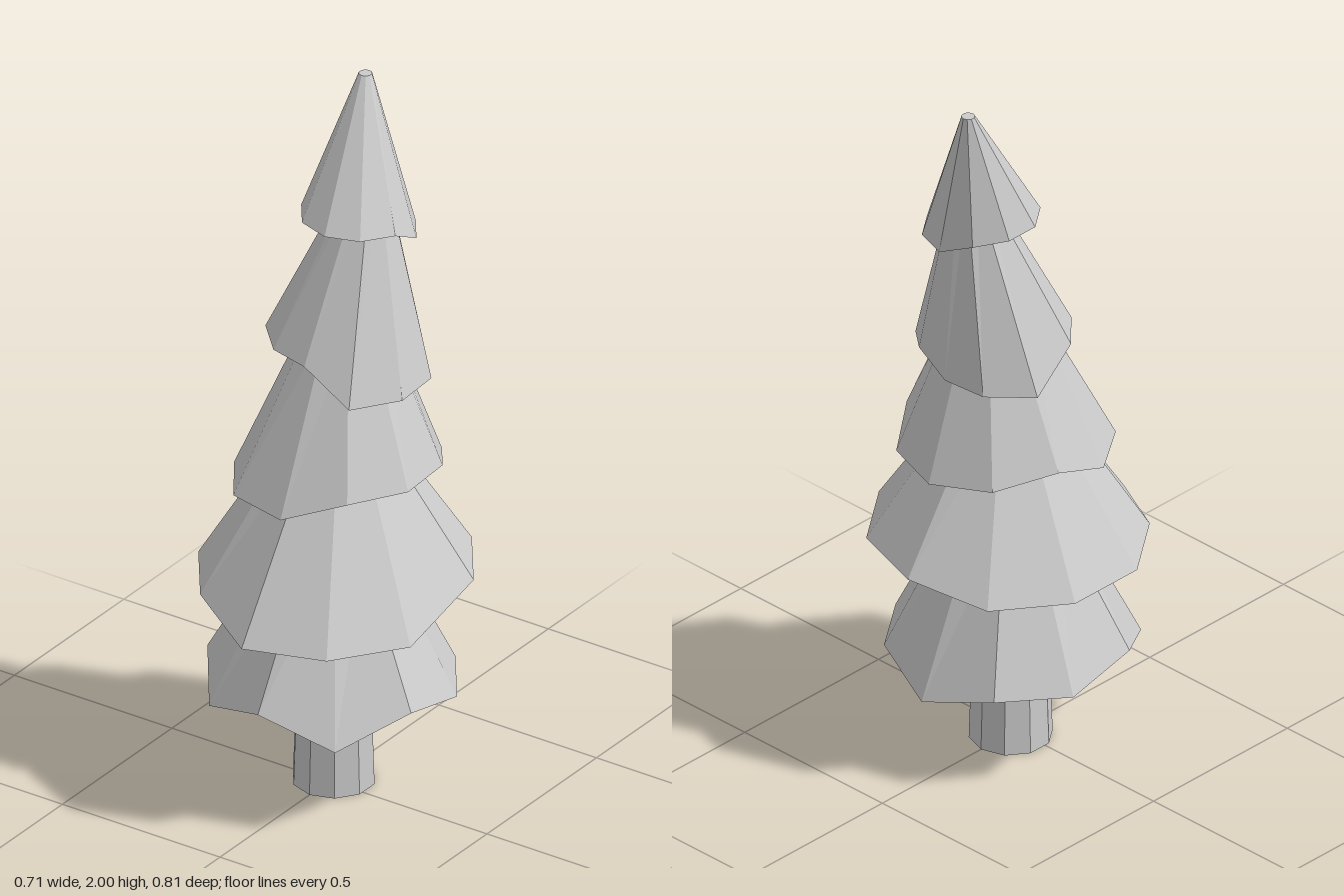
import * as THREE from 'three';

const SIDES = 10;
const material = new THREE.MeshStandardMaterial({ color: 0xcccccc, flatShading: true, side: THREE.DoubleSide });

// Each tier: rim centre and tip centre as [x, z], tip radius, tip height, and rim
// corner heights and radii (one number if even), from the front corner round through +x.
// twist turns the rim, push moves the first corners forward.
const tiers = [
  { rim: [0, -0.013], radii: 0.34, tip: [0, -0.02], tipRadius: 0.13, top: 0.72,
    heights: [0.345, 0.265, 0.345, 0.3, 0.305, 0.245, 0.3, 0.295, 0.345, 0.28] },
  { rim: [0, -0.03], radii: 0.375, tip: [0, -0.035], tipRadius: 0.11, top: 1.05, push: 0.057,
    heights: [0.575, 0.575, 0.575, 0.645, 0.645, 0.645, 0.61, 0.61, 0.61, 0.61] },
  { rim: [0.005, -0.042], tip: [0.005, -0.075], tipRadius: 0.1, top: 1.35, twist: 0.045,
    radii: [0.292, 0.276, 0.277, 0.275, 0.286, 0.293, 0.295, 0.284, 0.285, 0.3],
    heights: [0.895, 0.955, 0.96, 0.96, 0.915, 0.91, 0.93, 0.96, 0.895, 0.895] },
  { rim: [0, -0.08], tip: [0.02, -0.155], tipRadius: 0.042, top: 1.75,
    radii: [0.195, 0.242, 0.238, 0.23, 0.2, 0.186, 0.21, 0.24, 0.222, 0.203],
    heights: [1.285, 1.2, 1.2, 1.2, 1.235, 1.195, 1.19, 1.19, 1.285, 1.285] },
  { rim: [0.01, -0.12], radii: 0.157, tip: [-0.035, -0.215], tipRadius: 0.018, top: 2,
    heights: [1.64, 1.64, 1.64, 1.59, 1.59, 1.59, 1.63, 1.64, 1.64, 1.64] },
];

// Leaning cone with an uneven rim, made by moving the corners of a cylinder
function tierGeometry({ rim, radii, tip, tipRadius, top, heights, twist = 0, push = 0 }) {
  const geometry = new THREE.CylinderGeometry(1, 1, 2, SIDES, 1);
  const p = geometry.attributes.position;
  const mean = heights.reduce((a, b) => a + b) / SIDES;
  const step = (Math.PI * 2) / SIDES;
  for (let i = 0; i < p.count; i++) {
    const x = p.getX(i), z = p.getZ(i);
    if (p.getY(i) > 0) {
      p.setXYZ(i, tip[0] + x * tipRadius, top, tip[1] + z * tipRadius);
    } else if (Math.hypot(x, z) < 0.5) {
      // hollow underside
      p.setXYZ(i, rim[0], mean + 0.13, rim[1]);
    } else {
      const k = (Math.round(Math.atan2(x, z) / step) + SIDES) % SIDES;
      const a = k * step + twist;
      const r = radii[k] ?? radii;
      const forward = k < 3 ? push : 0;
      p.setXYZ(i, rim[0] + Math.sin(a) * r, heights[k], rim[1] + Math.cos(a) * r + forward);
    }
  }
  geometry.computeVertexNormals();
  return geometry;
}

export function createModel() {
  const tree = new THREE.Group();
  tree.name = 'pineTree';

  // Trunk
  const trunk = new THREE.Mesh(new THREE.CylinderGeometry(0.095, 0.111, 0.5, SIDES), material);
  trunk.position.set(0, 0.25, -0.02);
  trunk.name = 'trunk';
  tree.add(trunk);

  // Branch tiers, bottom to top
  tiers.forEach((tier, i) => {
    const mesh = new THREE.Mesh(tierGeometry(tier), material);
    mesh.name = `branchTier${i + 1}`;
    tree.add(mesh);
  });

  return tree;
}
